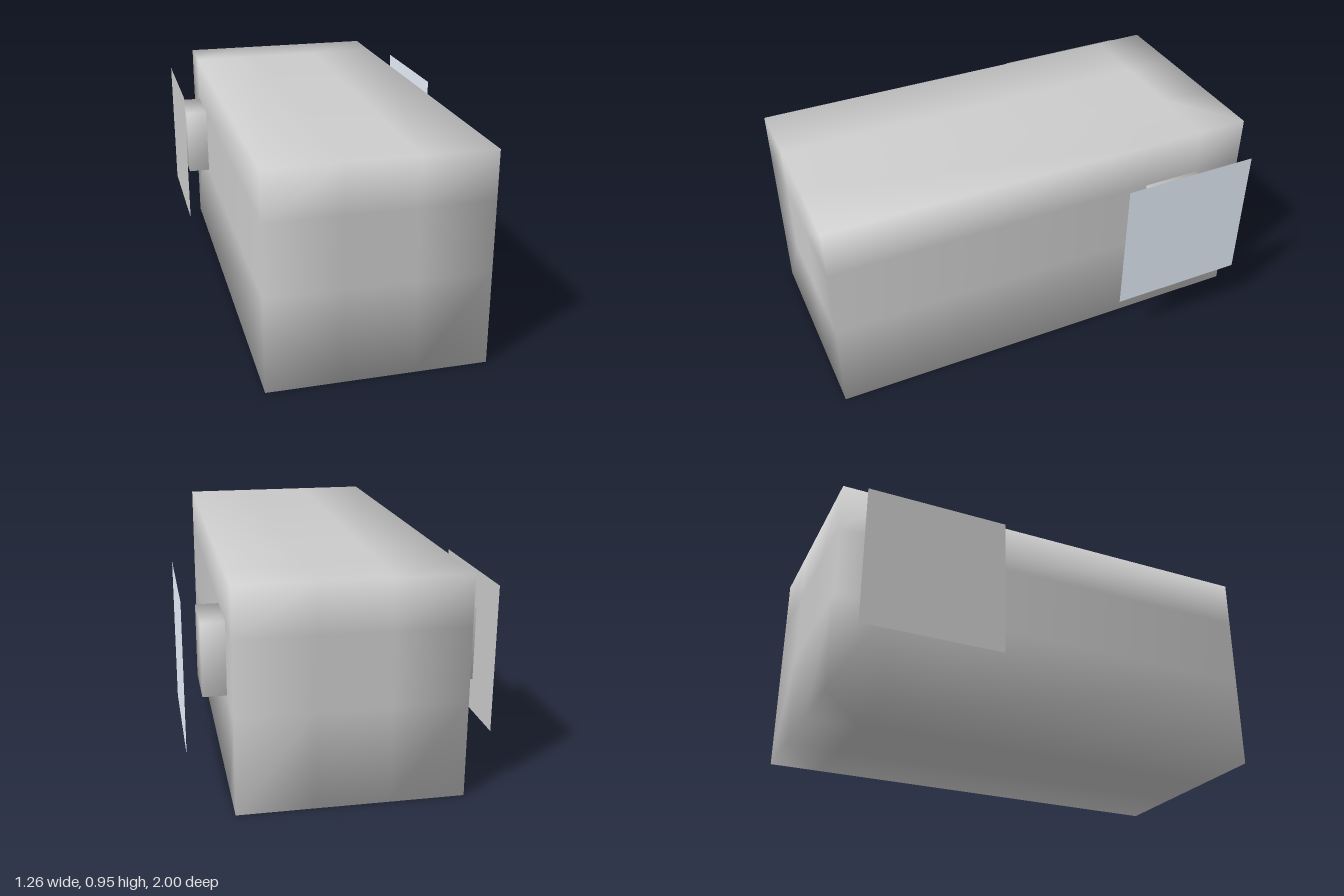
import * as THREE from 'three';
import { mergeVertices } from 'three/addons/utils/BufferGeometryUtils.js';

const grey = new THREE.MeshStandardMaterial({ color: 0xcccccc });
const greyPlate = new THREE.MeshStandardMaterial({ color: 0xcccccc, side: THREE.DoubleSide });
const palePlate = new THREE.MeshStandardMaterial({ color: 0xe8f1fc, side: THREE.DoubleSide });

// Box cut at the given loops along each axis, with normals smoothed over its edges
function smoothBox(name, xs, ys, zs) {
  const loops = [xs, ys, zs];
  const n = loops.map((l) => l.length - 1);
  const box = new THREE.BoxGeometry(n[0], n[1], n[2], n[0], n[1], n[2]);
  const pos = box.attributes.position;
  for (let i = 0; i < pos.count; i++) {
    const p = [pos.getX(i), pos.getY(i), pos.getZ(i)];
    pos.setXYZ(i, ...p.map((v, a) => loops[a][Math.round(v + n[a] / 2)]));
  }
  box.deleteAttribute('uv');
  box.deleteAttribute('normal');
  const geometry = mergeVertices(box);
  geometry.computeVertexNormals();
  const mesh = new THREE.Mesh(geometry, grey);
  mesh.name = name;
  return mesh;
}

// Thin square panel standing off the side of the body
function sidePlate(name, x, material) {
  const mesh = new THREE.Mesh(new THREE.PlaneGeometry(0.63, 0.63), material);
  mesh.rotation.y = Math.sign(x) * Math.PI / 2;
  mesh.position.set(x, 0.56, -0.61);
  mesh.name = name;
  return mesh;
}

export function createModel() {
  const model = new THREE.Group();
  model.name = 'boxWithSidePlates';

  const stubY = [0.42, 0.735];
  const stubZ = [-0.765, -0.5];

  // Long body, with edge loops lined up with the stubs
  model.add(smoothBox('body', [-0.5, -0.18, 0.13, 0.45], [0, ...stubY, 0.95], [-1, ...stubZ, 1]));

  // Short stubs near the back, rooted inside the body
  model.add(smoothBox('leftStub', [0.3, 0.55], stubY, stubZ));
  model.add(smoothBox('rightStub', [-0.6, -0.35], stubY, stubZ));

  // Plates outside the stubs
  model.add(sidePlate('leftPlate', 0.63, palePlate));
  model.add(sidePlate('rightPlate', -0.63, greyPlate));

  return model;
}
